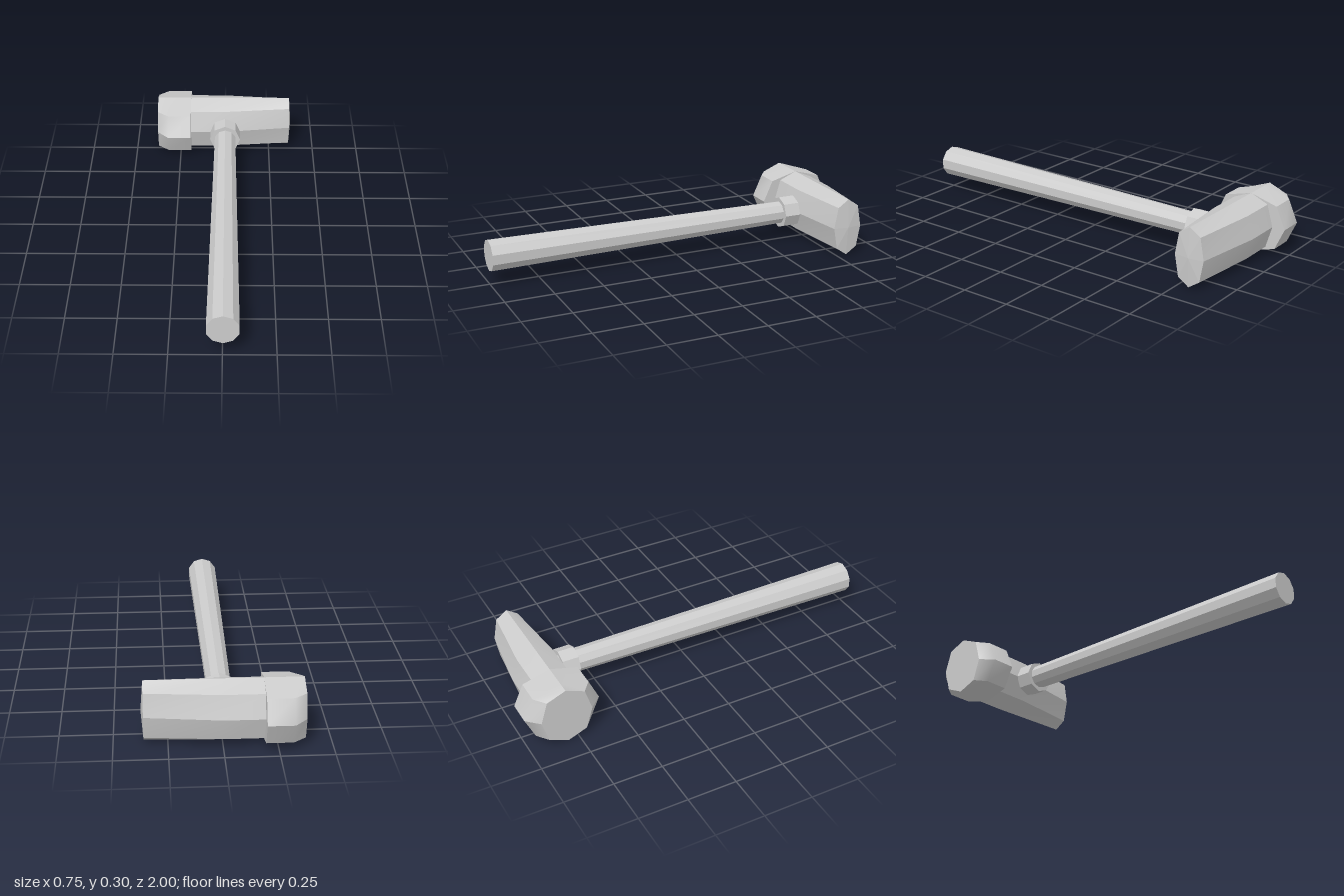
import * as THREE from 'three';
import { mergeGeometries } from 'three/addons/utils/BufferGeometryUtils.js';

const MID_Y = 0.153, HEAD_Z = -0.806, SIDES = 8;

// Point on an octagonal ring [x, half height, half depth], with corners up, down, front and back
function ringPoint([x, ry, rz], j) {
  const a = (j * 2 * Math.PI) / SIDES;
  const k = j % 2 ? 1.045 : 1;
  return [x, MID_Y + ry * k * Math.cos(a), HEAD_Z + rz * k * Math.sin(a)];
}

// Eight long facets through the rings: smooth along x, creased between facets
function facets(rings) {
  const strips = [];
  for (let j = 0; j < SIDES; j++) {
    const pos = [], index = [];
    rings.forEach((ring, i) => {
      pos.push(...ringPoint(ring, j), ...ringPoint(ring, j + 1));
      if (i) {
        const p = 2 * (i - 1);
        index.push(p, p + 1, p + 2, p + 1, p + 3, p + 2);
      }
    });
    const g = new THREE.BufferGeometry();
    g.setAttribute('position', new THREE.Float32BufferAttribute(pos, 3));
    g.setIndex(index);
    g.computeVertexNormals();
    strips.push(g);
  }
  return mergeGeometries(strips);
}

export function createModel() {
  const model = new THREE.Group();
  model.name = 'hammer';
  const steel = new THREE.MeshStandardMaterial({ color: 0xcccccc });
  const flat = new THREE.MeshStandardMaterial({ color: 0xcccccc, flatShading: true });

  const add = (name, geometry, material) => {
    const mesh = new THREE.Mesh(geometry, material);
    mesh.name = name;
    model.add(mesh);
  };

  // Striking block: chamfered towards its face, stepping down to the body
  const face = [-0.375, 0.15, 0.13], block = [-0.316, 0.15, 0.192], step = [-0.19, 0.15, 0.192];
  add('strikingBlock', mergeGeometries([
    facets([[-0.375, 0, 0], face]),
    facets([face, block, step]),
    facets([step, [-0.19, 0, 0]]),
  ]), steel);

  // Body tapering in depth to a narrow, slightly domed peen
  const tip = [0.361, 0.15, 0.078];
  add('headBody', mergeGeometries([
    facets([[-0.19, 0.15, 0.125], [0, 0.15, 0.125], tip]),
    facets([tip, [0.372, 0, 0]]),
  ]), steel);

  // Round parts lying along z, from the front end to the back end
  const rod = (name, rFront, rBack, zFront, zBack, sides) => {
    const g = new THREE.CylinderGeometry(rFront, rBack, zFront - zBack, sides);
    g.rotateX(Math.PI / 2);
    g.translate(0.002, MID_Y, (zFront + zBack) / 2);
    add(name, g, flat);
  };
  rod('handle', 0.08, 0.058, 1, -0.72, 10);
  rod('collar', 0.083, 0.083, -0.6, -0.685, 8);

  return model;
}
